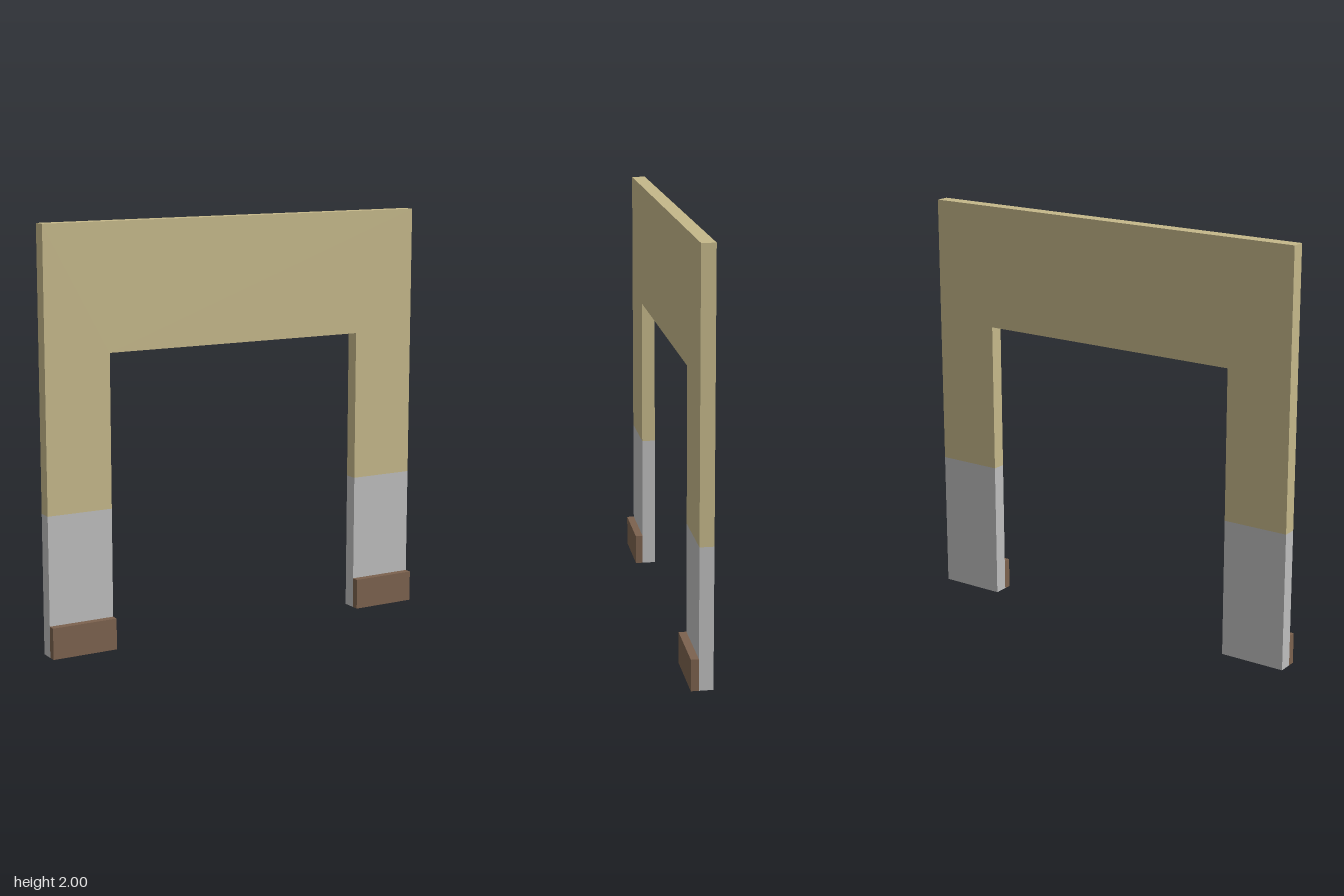
import * as THREE from 'three';

const tan = new THREE.MeshStandardMaterial({ name: 'tan paint', color: 0xc5b88a });
const grey = new THREE.MeshStandardMaterial({ name: 'grey paint', color: 0xbebebe });
const brown = new THREE.MeshStandardMaterial({ name: 'brown wood', color: 0x7c624e });

const BACK = -0.051, FACE = 0.015, FRONT = 0.051; // depth planes
const INNER = 0.675;                              // half width of the opening
const SPLIT = 0.67;                               // height of the paint line

// Box given by its two opposite corners
function box(name, material, [x0, y0, z0], [x1, y1, z1]) {
  const mesh = new THREE.Mesh(new THREE.BoxGeometry(x1 - x0, y1 - y0, z1 - z0), material);
  mesh.position.set((x0 + x1) / 2, (y0 + y1) / 2, (z0 + z1) / 2);
  mesh.name = name;
  return mesh;
}

export function createModel() {
  const model = new THREE.Group();
  model.name = 'doorwayWall';

  // Upper wall: one piece wrapping around the top of the opening
  const outline = new THREE.Shape([
    [-1, SPLIT], [-INNER, SPLIT], [-INNER, 1.4], [INNER, 1.4],
    [INNER, SPLIT], [1, SPLIT], [1, 2], [-1, 2],
  ].map(([x, y]) => new THREE.Vector2(x, y)));
  const upper = new THREE.Mesh(
    new THREE.ExtrudeGeometry(outline, { depth: FACE - BACK, bevelEnabled: false }), tan);
  upper.position.z = BACK;
  upper.name = 'upperWall';
  model.add(upper);

  // Lower wall and skirting board on each side of the opening
  for (const [side, x0, x1] of [['left', INNER, 1], ['right', -1, -INNER]]) {
    model.add(box(side + 'LowerWall', grey, [x0, 0, BACK], [x1, SPLIT, FACE]));
    model.add(box(side + 'SkirtingBoard', brown, [x0, 0, FACE], [x1, 0.15, FRONT]));
  }
  return model;
}
